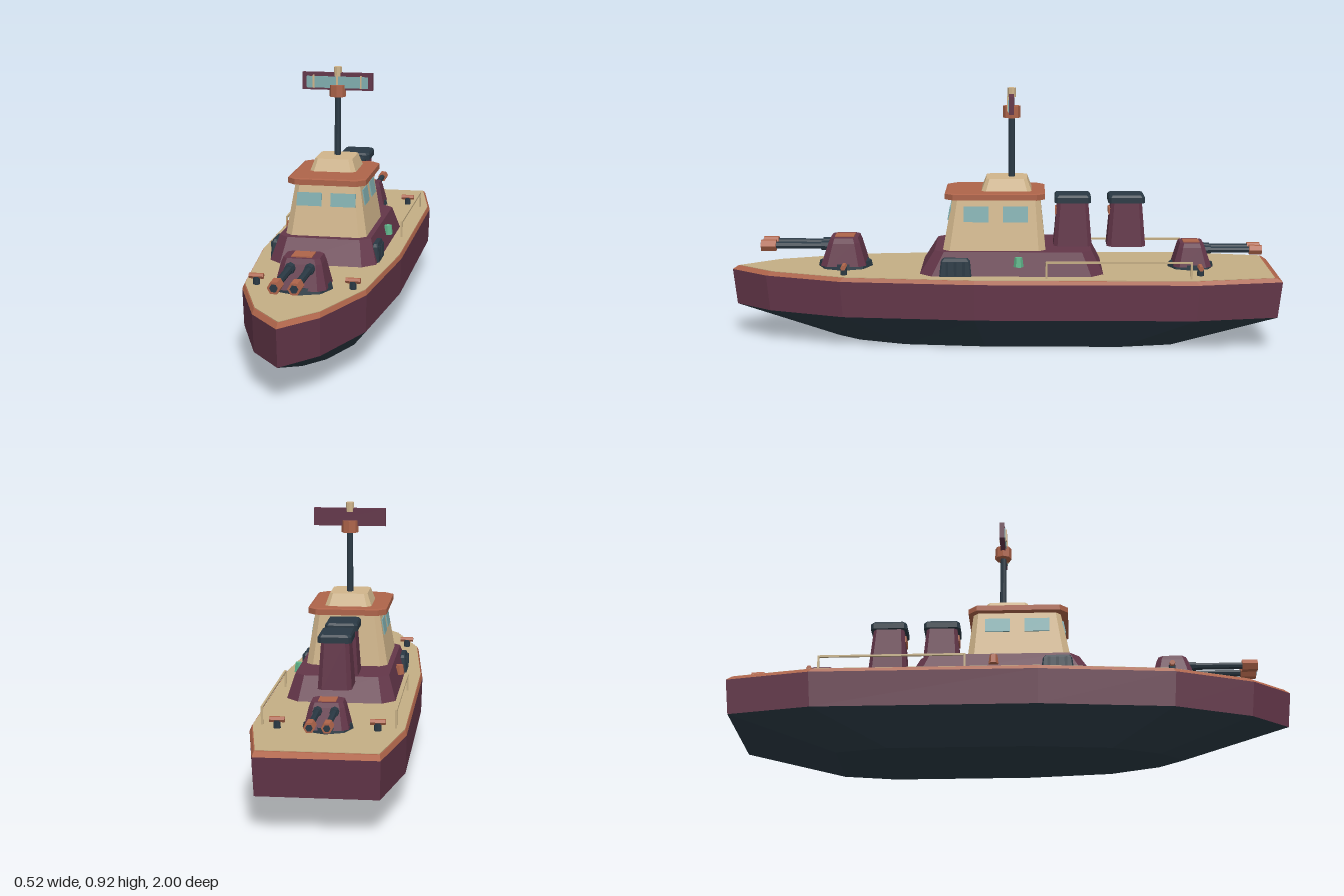
import * as THREE from 'three';

const mat = (name, color) => Object.assign(new THREE.MeshStandardMaterial({ color, flatShading: true }), { name });
const plum = mat('plum paint', 0x633649);
const navy = mat('dark navy', 0x2a3944);
const deckTan = mat('deck tan', 0xc4ae84);
const cream = mat('cabin cream', 0xd0b58b);
const copper = mat('copper trim', 0xae644a);
const glass = mat('teal glass', 0x80adae);
const green = mat('green lamp', 0x5fb58a);

// Stacked loops of [x, y, z], counterclockwise from above, closed with fans.
function loft(loops) {
  const pos = [], n = loops[0].length;
  const centre = (l) => [0, 1, 2].map((k) => l.reduce((s, p) => s + p[k], 0) / n);
  const lo = loops[0], hi = loops[loops.length - 1], cLo = centre(lo), cHi = centre(hi);
  for (let i = 0; i < n; i++) {
    const j = (i + 1) % n;
    for (let k = 0; k + 1 < loops.length; k++) {
      const a = loops[k], b = loops[k + 1];
      pos.push(...a[i], ...a[j], ...b[j], ...a[i], ...b[j], ...b[i]);
    }
    pos.push(...cLo, ...lo[j], ...lo[i], ...cHi, ...hi[i], ...hi[j]);
  }
  const g = new THREE.BufferGeometry();
  g.setAttribute('position', new THREE.Float32BufferAttribute(pos, 3));
  g.computeVertexNormals();
  return g;
}

// Rectangle with cut corners, as one loop.
const ring = (y, hx, z0, z1, c) => [
  [-hx + c, y, z1], [hx - c, y, z1], [hx, y, z1 - c], [hx, y, z0 + c],
  [hx - c, y, z0], [-hx + c, y, z0], [-hx, y, z0 + c], [-hx, y, z1 - c],
];

function add(parent, name, geo, material, x = 0, y = 0, z = 0) {
  const m = new THREE.Mesh(geo, material);
  m.name = name;
  m.position.set(x, y, z);
  parent.add(m);
  return m;
}
const box = (x, y, z) => new THREE.BoxGeometry(x, y, z);
const cyl = (r0, r1, h, n = 8) => new THREE.CylinderGeometry(r1, r0, h, n);

// Twin gun turret facing +z, standing on y = 0.
function makeTurret(name) {
  const t = new THREE.Group();
  t.name = name;
  add(t, 'turretBase', cyl(0.1, 0.095, 0.022), navy, 0, 0.011, 0);
  add(t, 'turretBody', loft([ring(0.012, 0.088, -0.08, 0.085, 0.025), ring(0.095, 0.069, -0.057, 0.057, 0.018),
    ring(0.113, 0.062, -0.05, 0.05, 0.016)]), plum);
  add(t, 'turretHatch', box(0.07, 0.006, 0.07), copper, 0, 0.114, 0);
  for (const s of [-1, 1]) {
    const barrel = new THREE.Group();
    barrel.name = 'barrel';
    barrel.position.set(s * 0.033, 0.082, 0);
    barrel.rotation.x = Math.PI / 2;
    add(barrel, 'tube', cyl(0.013, 0.013, 0.23), navy, 0, 0.155, 0);
    add(barrel, 'collar', cyl(0.019, 0.017, 0.03), navy, 0, 0.07, 0);
    add(barrel, 'muzzle', cyl(0.022, 0.022, 0.055, 6), copper, 0, 0.278, 0).rotation.y = Math.PI / 6;
    add(barrel, 'bore', cyl(0.014, 0.014, 0.004, 6), navy, 0, 0.305, 0).rotation.y = Math.PI / 6;
    t.add(barrel);
  }
  return t;
}

export function createModel() {
  const ship = new THREE.Group();
  ship.name = 'patrolBoat';

  // Hull: one deck outline, scaled for each level
  const half = [[0.11, 0.86], [0.212, 0.58], [0.258, 0.1], [0.258, -0.7], [0.2, -1]];
  const outline = [[0, 1], ...half, ...half.map(([x, z]) => [-x, z]).reverse()];
  const level = (y, sx, sz = sx) => outline.map(([x, z]) => [x * sx, y, z * sz]);
  add(ship, 'lowerHull', loft([level(0, 0.615, 0.61), level(0.12, 0.985)]), navy);
  add(ship, 'upperHull', loft([level(0.12, 0.985), level(0.25, 1)]), plum);
  add(ship, 'gunwale', loft([level(0.25, 1), level(0.264, 0.98)]), copper);
  add(ship, 'deck', loft([level(0.26, 0.972), level(0.266, 0.972)]), deckTan);

  // Deckhouse and wheelhouse
  add(ship, 'deckhouse', loft([ring(0.262, 0.192, -0.365, 0.3, 0.045), ring(0.35, 0.165, -0.32, 0.245, 0.035)]), plum);
  add(ship, 'wheelhouse', loft([ring(0.349, 0.146, -0.155, 0.215, 0.025), ring(0.54, 0.115, -0.135, 0.18, 0.018)]), cream);
  add(ship, 'roof', loft([ring(0.533, 0.141, -0.153, 0.208, 0.03), ring(0.553, 0.141, -0.153, 0.208, 0.03),
    ring(0.556, 0.132, -0.144, 0.199, 0.028)]), copper);
  add(ship, 'roofHousing', loft([ring(0.555, 0.084, -0.105, 0.077, 0.016), ring(0.6, 0.068, -0.088, 0.06, 0.012)]), cream);

  // Windows lie on the leaning walls
  const frontLean = Math.atan(0.035 / 0.191), sideLean = Math.atan(0.031 / 0.191);
  for (const s of [-1, 1]) {
    add(ship, 'frontWindow', box(0.09, 0.048, 0.006), glass, s * 0.061, 0.479, 0.192).rotation.x = -frontLean;
    for (const z of [0.095, -0.047])
      add(ship, 'sideWindow', box(0.006, 0.056, 0.09), glass, s * 0.1255, 0.48, z).rotation.z = s * sideLean;
  }

  // Mast and radar
  const mz = -0.032;
  add(ship, 'mast', cyl(0.012, 0.011, 0.23), navy, 0, 0.71, mz);
  add(ship, 'radarMount', cyl(0.031, 0.031, 0.043), copper, 0, 0.837, mz);
  add(ship, 'radarPanel', box(0.258, 0.063, 0.018), plum, 0, 0.871, mz);
  add(ship, 'radarFace', box(0.226, 0.042, 0.006), glass, 0, 0.868, mz + 0.009);
  for (const x of [-0.087, 0, 0.087]) add(ship, 'radarBar', box(0.006, 0.047, 0.007), cream, x, 0.87, mz + 0.013);
  add(ship, 'mastLamp', cyl(0.015, 0.015, 0.034), cream, 0, 0.907, mz);

  // Funnels
  for (const z of [-0.255, -0.45]) {
    const f = new THREE.Group();
    f.name = 'funnel';
    f.position.set(0, 0.349, z);
    add(f, 'stack', loft([ring(0, 0.058, -0.07, 0.07, 0.015), ring(0.165, 0.047, -0.056, 0.056, 0.012)]), plum);
    add(f, 'cap', loft([ring(0.16, 0.057, -0.066, 0.066, 0.01), ring(0.18, 0.057, -0.066, 0.066, 0.01),
      ring(0.188, 0.052, -0.061, 0.061, 0.01)]), navy);
    add(f, 'plaque', box(0.066, 0.024, 0.012), copper, 0, 0.127, 0.058);
    ship.add(f);
  }

  // Turrets fore and aft
  const fore = makeTurret('foreTurret');
  fore.position.set(0, 0.265, 0.58);
  const aft = makeTurret('aftTurret');
  aft.position.set(0, 0.265, -0.69);
  aft.rotation.y = Math.PI;
  aft.scale.setScalar(0.84);
  ship.add(fore, aft);

  for (const s of [-1, 1]) {
    // Mooring posts
    for (const z of [0.57, -0.71]) {
      add(ship, 'mooringPost', cyl(0.012, 0.012, 0.028), navy, s * 0.165, 0.279, z);
      add(ship, 'mooringBar', cyl(0.01, 0.01, 0.05, 6), copper, s * 0.165, 0.295, z).rotation.z = Math.PI / 2;
    }
    // Side railing
    add(ship, 'handrail', box(0.007, 0.007, 0.52), deckTan, s * 0.221, 0.324, -0.415);
    for (const z of [-0.158, -0.672]) add(ship, 'railPost', box(0.007, 0.06, 0.007), deckTan, s * 0.221, 0.295, z);
    // Slatted vent on the deckhouse flank
    const vent = new THREE.Group();
    vent.name = 'sideVent';
    vent.position.set(s * 0.181, 0.265, 0.168);
    add(vent, 'ventBody', loft([ring(0, 0.016, -0.058, 0.058, 0.005), ring(0.055, 0.012, -0.052, 0.052, 0.005),
      ring(0.066, 0.008, -0.044, 0.044, 0.004)]), navy);
    for (const z of [-0.03, 0, 0.03]) add(vent, 'slat', box(0.006, 0.05, 0.01), navy, s * 0.015, 0.03, z);
    ship.add(vent);
    // Navigation lamp
    add(ship, 'navigationLamp', cyl(0.018, 0.014, 0.034, 6), s > 0 ? green : copper, s * 0.185, 0.318, -0.058);
  }
  return ship;
}
